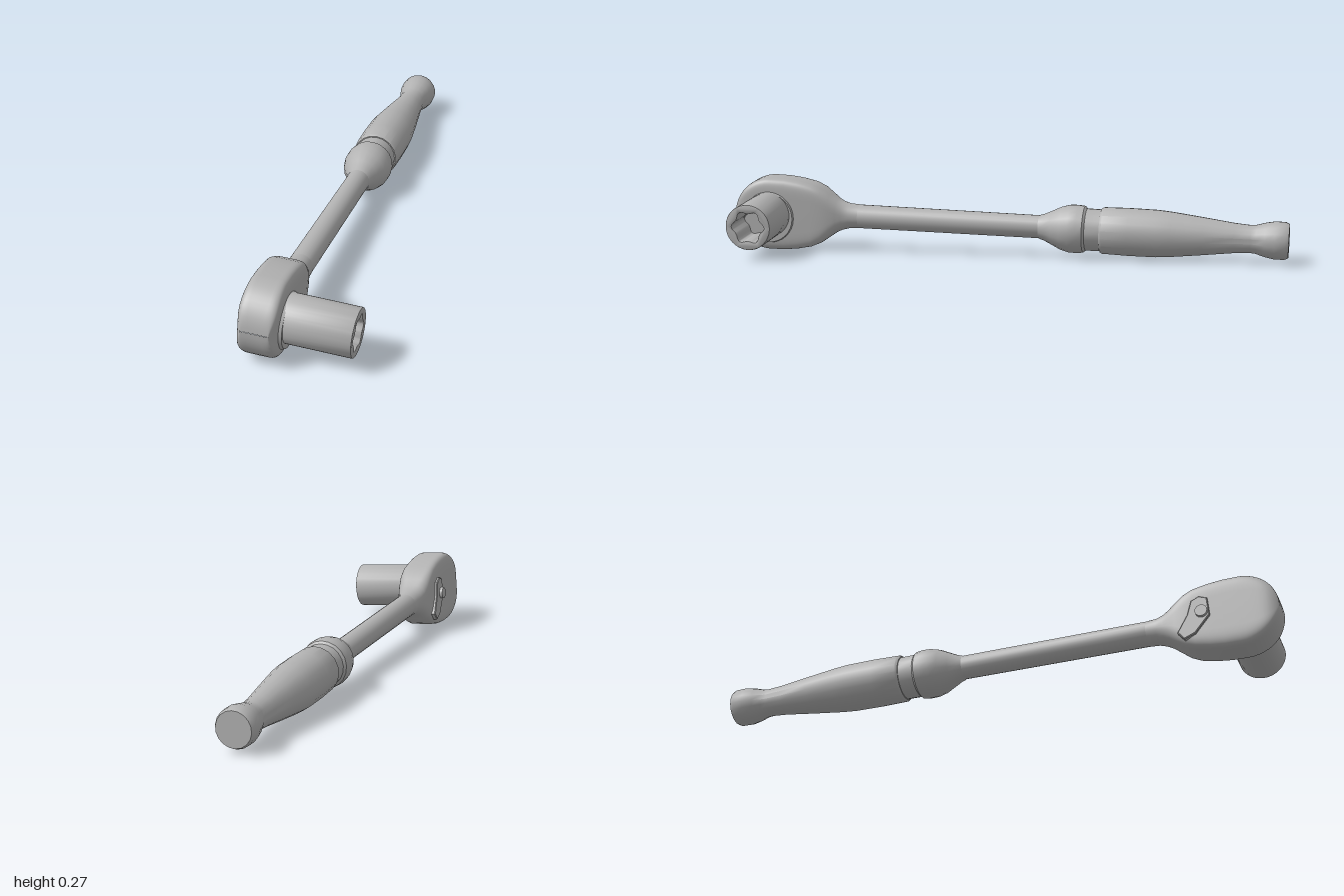
import * as THREE from 'three';
import { toCreasedNormals } from 'three/addons/utils/BufferGeometryUtils.js';

// Skin over superellipse sections [z, half height, half width, exponent]
function loft(stations, sides) {
  const pos = [], idx = [];
  const pow = (v, n) => Math.sign(v) * Math.pow(Math.abs(v), 2 / n);
  stations.forEach(([z, h, w, n], i) => {
    for (let j = 0; j < sides; j++) {
      const t = (j / sides) * Math.PI * 2;
      pos.push(w * pow(Math.cos(t), n), h * pow(Math.sin(t), n), z);
      if (i === stations.length - 1) continue;
      const a = i * sides + j, b = i * sides + (j + 1) % sides;
      idx.push(a, b, a + sides, b, b + sides, a + sides);
    }
  });
  const g = new THREE.BufferGeometry();
  g.setAttribute('position', new THREE.Float32BufferAttribute(pos, 3));
  g.setIndex(idx);
  g.computeVertexNormals();
  return g;
}

// Lathe around the z axis from [radius, z] pairs
function latheZ(profile, sides) {
  const g = new THREE.LatheGeometry(profile.map(([r, z]) => new THREE.Vector2(r, z)), sides);
  return toCreasedNormals(g.rotateX(Math.PI / 2), 0.6);
}

export function createModel() {
  const steel = new THREE.MeshStandardMaterial({ color: 0xb2b2b2 });
  steel.name = 'steel grey';
  const root = new THREE.Group();
  root.name = 'ratchetWrench';
  const tool = new THREE.Group();
  tool.name = 'tool';
  tool.position.set(-0.107, 0.11, 0);
  tool.rotation.set(-0.03, 0, -0.075);
  root.add(tool);
  const add = (name, geometry, x = 0, y = 0, z = 0) => {
    const m = new THREE.Mesh(geometry, steel);
    m.name = name;
    m.position.set(x, y, z);
    tool.add(m);
    return m;
  };

  // Teardrop head blending into the round shaft
  const headZ = 0.863, headR = 0.132;
  const stations = [
    [0.54, 0.043, 0.043, 2], [0.575, 0.045, 0.044, 2.1], [0.6, 0.051, 0.049, 2.5],
    [0.62, 0.06, 0.055, 3], [0.645, 0.078, 0.061, 3.8], [0.675, 0.099, 0.065, 5],
    [0.71, 0.114, 0.066, 6], [0.76, 0.125, 0.066, 6], [0.81, 0.131, 0.066, 6],
  ];
  for (let i = 0; i <= 12; i++) {
    const a = (i / 12) * Math.PI / 2, s = Math.sin(a);
    stations.push([headZ + headR * s, Math.max(headR * Math.cos(a), 0.0005), 0.066 - 0.02 * s ** 8, 6]);
  }
  add('head', loft(stations, 56));

  // Shaft
  add('shaft', latheZ([[0.041, -0.16], [0.043, 0.56]], 20));

  // Flared collar ahead of the grip
  add('collar', latheZ([
    [0.074, -0.36], [0.075, -0.29], [0.083, -0.282], [0.086, -0.26], [0.085, -0.23],
    [0.077, -0.2], [0.06, -0.165], [0.048, -0.14], [0.042, -0.12],
  ], 20));

  // Swelling grip with a knobbed end
  add('grip', latheZ([
    [0, -0.998], [0.06, -0.998], [0.066, -0.985], [0.067, -0.95], [0.06, -0.915],
    [0.051, -0.885], [0.049, -0.865], [0.053, -0.81], [0.067, -0.7], [0.08, -0.59],
    [0.084, -0.54], [0.085, -0.44], [0.083, -0.35], [0.078, -0.342], [0, -0.342],
  ], 18));

  // Drive plate between head and socket
  add('drivePlate', new THREE.CylinderGeometry(0.09, 0.094, 0.014, 32).rotateZ(-Math.PI / 2), 0.068, -0.008, headZ);

  // Socket tube with a six-lobed opening
  const lobes = [];
  for (let i = 0; i < 72; i++) {
    const t = (i / 72) * Math.PI * 2;
    const r = 0.0575 + 0.0055 * Math.cos(6 * t);
    lobes.push(new THREE.Vector2(r * Math.cos(t), r * Math.sin(t)));
  }
  const tube = new THREE.Shape().absarc(0, 0, 0.077, 0, Math.PI * 2);
  tube.holes.push(new THREE.Path(lobes));
  const tubeGeo = new THREE.ExtrudeGeometry(tube, {
    depth: 0.224, bevelThickness: 0.004, bevelSize: 0.004, bevelSegments: 2, curveSegments: 24,
  });
  const socket = new THREE.Group();
  socket.name = 'socket';
  socket.position.set(0.066, 0.003, headZ + 0.002);
  socket.rotation.y = Math.PI / 2;
  tool.add(socket);
  const wall = new THREE.Mesh(toCreasedNormals(tubeGeo, 0.6), steel);
  wall.name = 'socketWall';
  const floor = new THREE.Mesh(new THREE.CircleGeometry(0.07, 32), steel);
  floor.name = 'socketFloor';
  floor.position.z = 0.09;
  socket.add(wall, floor);

  // Reversing lever on the right face: a wedge plate, a thumb block and a pin
  const plate = new THREE.Shape([
    [-0.76, 0.052], [-0.735, 0.062], [-0.71, 0.05], [-0.695, 0], [-0.66, -0.06],
    [-0.68, -0.085], [-0.715, -0.07], [-0.765, -0.01],
  ].map(([a, b]) => new THREE.Vector2(a, b)));
  const plateGeo = new THREE.ExtrudeGeometry(plate, {
    depth: 0.012, bevelThickness: 0.003, bevelSize: 0.003, bevelSegments: 1,
  });
  // Shape x becomes -z, so the extrusion runs outwards towards -x
  plateGeo.rotateY(Math.PI / 2).scale(-1, 1, 1);
  const ix = plateGeo.attributes.position;
  for (let i = 0; i < ix.count; i += 3) {
    const b = new THREE.Vector3().fromBufferAttribute(ix, i + 1);
    const c = new THREE.Vector3().fromBufferAttribute(ix, i + 2);
    ix.setXYZ(i + 1, c.x, c.y, c.z);
    ix.setXYZ(i + 2, b.x, b.y, b.z);
  }
  add('leverPlate', toCreasedNormals(plateGeo, 0.5), -0.06, 0, 0);
  add('leverPin', new THREE.CylinderGeometry(0.021, 0.021, 0.03, 20).rotateZ(Math.PI / 2), -0.071, 0.003, 0.742);

  return root;
}
